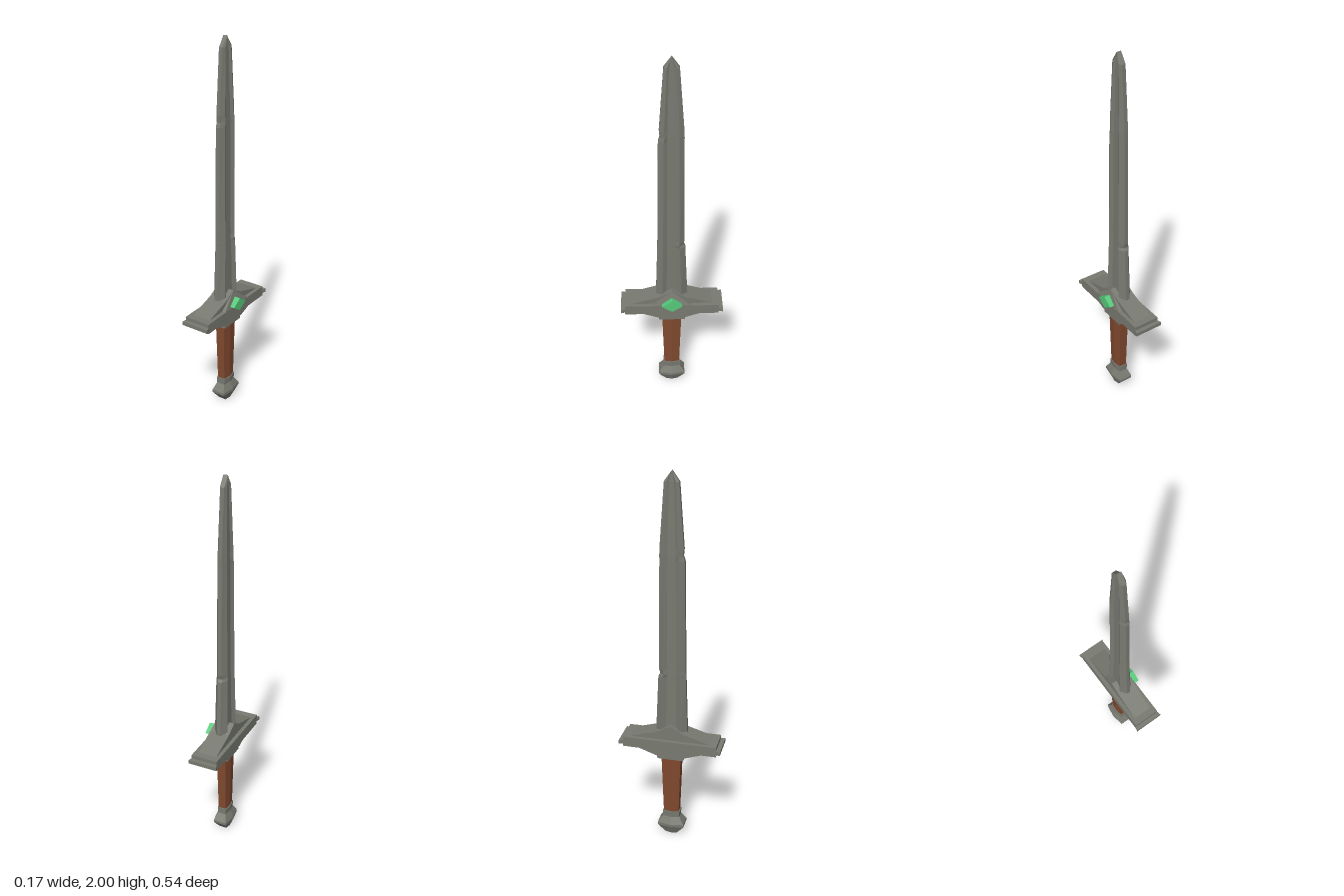
import * as THREE from 'three';

const steel = new THREE.MeshStandardMaterial({ color: 0x787a71 });
steel.name = 'steel';
const leather = new THREE.MeshStandardMaterial({ color: 0x80492f });
leather.name = 'leather';
const emerald = new THREE.MeshStandardMaterial({ color: 0x55c87a });
emerald.name = 'emerald';

// Faceted solid through rings of [x, y, z] points, ordered from +z over +x, bottom ring first
function loft(rings) {
  const pos = [];
  const tri = (...points) => points.forEach((p) => pos.push(...p));
  const centre = (ring) => [0, 1, 2].map((k) => ring.reduce((s, p) => s + p[k], 0) / ring.length);
  const n = rings[0].length;
  const low = rings[0], high = rings[rings.length - 1];
  for (let i = 0; i < n; i++) {
    const j = (i + 1) % n;
    for (let r = 0; r < rings.length - 1; r++) {
      const a = rings[r], b = rings[r + 1];
      tri(a[i], a[j], b[j]);
      tri(a[i], b[j], b[i]);
    }
    tri(centre(low), low[j], low[i]);
    tri(centre(high), high[i], high[j]);
  }
  const geometry = new THREE.BufferGeometry();
  geometry.setAttribute('position', new THREE.Float32BufferAttribute(pos, 3));
  geometry.computeVertexNormals();
  return geometry;
}

// Outline of [z, y] points pushed through the thickness x0..x1
function prism(outline, x0, x1) {
  const shape = new THREE.Shape(outline.map(([z, y]) => new THREE.Vector2(z, y)));
  const geometry = new THREE.ExtrudeGeometry(shape, { depth: x1 - x0, bevelEnabled: false });
  return geometry.rotateY(-Math.PI / 2).translate(x1, 0, 0);
}

// Cross-sections
const hexRing = (y, x, z) => [
  [x * 0.75, y, z], [x, y, 0], [x * 0.75, y, -z], [-x * 0.75, y, -z], [-x, y, 0], [-x * 0.75, y, z],
];
const rectRing = (y, x, z) => [[x, y, z], [x, y, -z], [-x, y, -z], [-x, y, z]];

// Blunt edges, two ridges and a hollow between them
function bladeRing([y, front, back, thick]) {
  const edge = Math.min(0.01, thick * 0.6), hollow = thick * 0.6;
  const side = [
    [edge, front], [thick, front * 0.6], [hollow, front * 0.33],
    [hollow, -back * 0.33], [thick, -back * 0.6], [edge, -back],
  ];
  return [
    ...side.map(([x, z]) => [x, y, z]),
    ...side.slice().reverse().map(([x, z]) => [-x, y, z]),
  ];
}

export function createModel() {
  const sword = new THREE.Group();
  sword.name = 'sword';
  const add = (parent, name, geometry, material) => {
    const mesh = new THREE.Mesh(geometry, material);
    mesh.name = name;
    parent.add(mesh);
    return mesh;
  };

  // Blade: height, front edge, back edge, half thickness; with a nick on each edge
  add(sword, 'blade', loft([
    [0.6, 0.085, 0.085, 0.038],
    [0.95, 0.074, 0.07, 0.031],
    [0.965, 0.074, 0.06, 0.031],
    [0.99, 0.073, 0.066, 0.03],
    [1.57, 0.065, 0.061, 0.025],
    [1.595, 0.057, 0.061, 0.025],
    [1.63, 0.06, 0.06, 0.024],
    [1.95, 0.037, 0.037, 0.017],
    [2.0, 0.001, 0.001, 0.011],
  ].map(bladeRing)), steel);

  // Guard
  const guard = new THREE.Group();
  guard.name = 'guard';
  sword.add(guard);
  add(guard, 'guardBar', loft([
    rectRing(0.545, 0.0715, 0.25), rectRing(0.6, 0.0715, 0.25),
  ]), steel);
  add(guard, 'guardRoof', prism([
    [0.22, 0.598], [0.065, 0.645], [0, 0.68], [-0.065, 0.645], [-0.22, 0.598],
  ], -0.051, 0.051), steel);
  add(guard, 'guardUnderside', prism([
    [-0.21, 0.547], [-0.075, 0.5], [0.075, 0.5], [0.21, 0.547],
  ], -0.051, 0.051), steel);
  add(guard, 'guardCollar', loft([
    rectRing(0.48, 0.046, 0.07), rectRing(0.505, 0.046, 0.07),
  ]), steel);

  // Flared caps at both ends of the guard
  for (const s of [1, -1]) {
    const capRing = (y) => [
      [0.0785, y, 0.272], [0.0715, y, 0.245], [-0.0715, y, 0.245], [-0.0785, y, 0.272],
    ];
    const cap = add(guard, 'guardCap', loft([capRing(0.56), capRing(0.58)]), steel);
    if (s < 0) cap.rotation.y = Math.PI;
  }

  // Sloping seat and gem
  add(guard, 'gemSeat', loft([
    [[0.0715, 0.598, 0.105], [0.0715, 0.598, -0.105], [0.045, 0.598, -0.105], [0.045, 0.598, 0.105]],
    [[0.0515, 0.678, 0.004], [0.0515, 0.678, -0.004], [0.045, 0.678, -0.004], [0.045, 0.678, 0.004]],
  ]), steel);
  add(guard, 'gem', prism([
    [0.053, 0.611], [0, 0.646], [-0.053, 0.611], [0, 0.576],
  ], 0.045, 0.0925), emerald);

  // Grip
  add(sword, 'grip', loft([hexRing(0.13, 0.028, 0.041), hexRing(0.485, 0.034, 0.052)]), leather);

  // Pommel
  add(sword, 'pommel', loft([
    hexRing(0, 0.028, 0.032),
    hexRing(0.05, 0.049, 0.072),
    hexRing(0.065, 0.049, 0.072),
    hexRing(0.105, 0.031, 0.046),
    hexRing(0.14, 0.033, 0.046),
  ]), steel);

  sword.position.x = -0.0075;
  const model = new THREE.Group();
  model.name = 'model';
  model.add(sword);
  return model;
}
